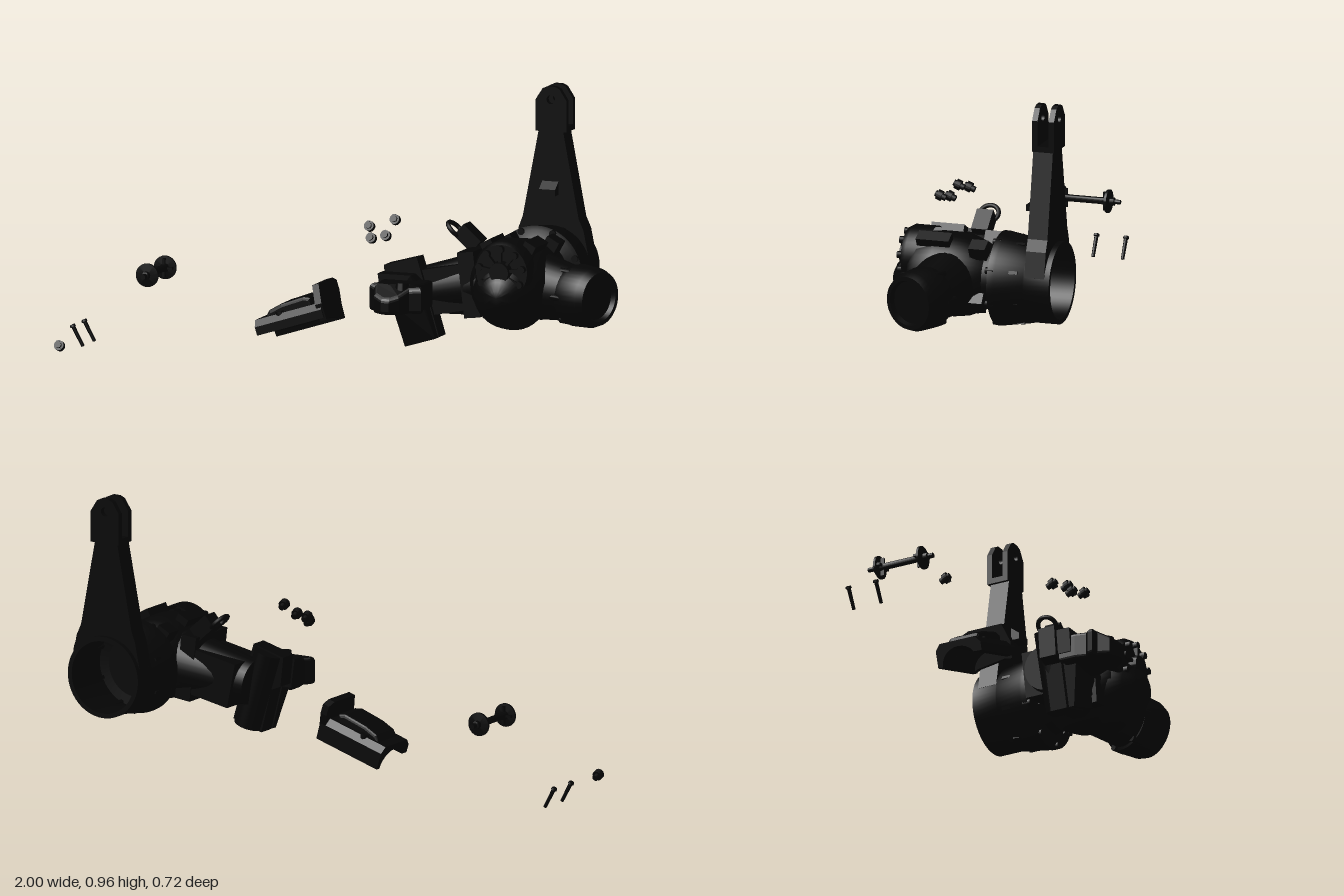
import * as THREE from 'three';
import { toCreasedNormals } from 'three/addons/utils/BufferGeometryUtils.js';

export function createModel() {
  const root = new THREE.Group();
  root.name = 'axleGearboxAssembly';
  const black = new THREE.MeshStandardMaterial({ color: 0x050505, side: THREE.DoubleSide });
  black.name = 'blackPlastic';
  const V = (x, y, z) => new THREE.Vector3(x, y, z);

  const add = (name, geo, parent = root) => {
    const m = new THREE.Mesh(geo, black);
    m.name = name;
    parent.add(m);
    return m;
  };
  // Box with centre and tilt about z
  const box = (name, w, h, d, x, y, z, tilt = 0, parent = root) => {
    const m = add(name, new THREE.BoxGeometry(w, h, d), parent);
    m.position.set(x, y, z);
    m.rotation.z = tilt;
    return m;
  };
  // Solid of revolution along a line; profile is [radius, distance]
  const turned = (name, profile, from, dir, parent = root, sides = 40) => {
    const g = new THREE.LatheGeometry(profile.map(p => new THREE.Vector2(...p)), sides);
    const m = add(name, toCreasedNormals(g, 0.6), parent);
    m.position.copy(from);
    m.quaternion.setFromUnitVectors(V(0, 1, 0), dir.clone().normalize());
    return m;
  };
  const rod = (name, from, to, r0, r1 = r0, parent = root, sides = 24) => {
    const l = from.distanceTo(to);
    return turned(name, [[0, 0], [r0, 0], [r1, l], [0, l]], from, to.clone().sub(from), parent, sides);
  };
  // Flat outline extruded along z, with round holes [x, y, radius]
  const plate = (name, pts, z0, z1, holes = [], parent = root, bevel = 0) => {
    const s = new THREE.Shape(pts.map(p => new THREE.Vector2(...p)));
    for (const [x, y, r] of holes) s.holes.push(new THREE.Path().absarc(x, y, r, 0, Math.PI * 2, true));
    const g = new THREE.ExtrudeGeometry(s, {
      depth: z1 - z0 - 2 * bevel, bevelEnabled: bevel > 0, bevelSize: bevel, bevelOffset: -bevel,
      bevelThickness: bevel, bevelSegments: 3, curveSegments: 16
    });
    g.translate(0, 0, z0 + bevel);
    return add(name, g, parent);
  };
  // Moves the z of each vertex by a rule
  const reshapeZ = (mesh, rule) => {
    const p = mesh.geometry.attributes.position;
    for (let i = 0; i < p.count; i++) p.setZ(i, rule(p.getX(i), p.getY(i), p.getZ(i)));
    mesh.geometry.computeVertexNormals();
  };
  const Z = V(0, 0, 1), CX = 0.645, CY = 0.327;

  // Upright arm with a fork at its top; its foot wraps the socket
  const armOutline = [[0.525, 0.46], [0.54, 0.5], [0.598, 0.8], [0.6, 0.82], [0.686, 0.82], [0.69, 0.8],
    [0.747, 0.5], [0.765, 0.46], [0.783, 0.37]];
  for (let i = 0; i <= 12; i++) {
    const a = 0.3 + (Math.PI - 0.6) * i / 12;
    armOutline.push([CX + 0.132 * Math.cos(a), CY + 0.132 * Math.sin(a)]);
  }
  armOutline.push([0.507, 0.37]);
  plate('uprightArm', armOutline, -0.342, -0.27);
  const fork = [[0.587, 0.8], [0.702, 0.8], [0.702, 0.91], [0.676, 0.95], [0.658, 0.958], [0.631, 0.958],
    [0.613, 0.95], [0.587, 0.91]];
  plate('forkProngFront', fork, -0.29, -0.27, [[0.644, 0.912, 0.016]]);
  plate('forkProngRear', fork, -0.35, -0.33, [[0.644, 0.912, 0.016]]);
  box('forkBase', 0.115, 0.02, 0.078, 0.6445, 0.81, -0.309);
  const lip = plate('armLip', [[0, 0], [0.033, 0], [0.033, 0.047], [0, 0.022]], -0.03, 0.03);
  lip.position.set(0.642, 0.58, -0.238);
  lip.rotation.y = Math.PI / 2;

  // Rear socket, a shell open at the back
  turned('rearSocket', [[0.11, -0.152], [0.145, -0.155], [0.13, -0.27], [0.128, -0.361], [0.144, -0.361],
    [0.144, -0.27], [0.147, -0.265], [0.163, -0.165], [0.165, -0.155], [0.165, -0.14], [0.15, -0.138],
    [0.12, -0.125]], V(CX, CY, 0), Z, root, 56);
  for (let i = 0; i < 8; i++) {
    const b = i * Math.PI / 4 + 0.39;
    const p = V(CX + 0.153 * Math.cos(b), CY + 0.153 * Math.sin(b), -0.16);
    rod('socketBolt', p, p.clone().add(V(0, 0, 0.03)), 0.012);
    box('socketGusset', 0.018, 0.012, 0.09, CX + 0.146 * Math.cos(b), CY + 0.146 * Math.sin(b), -0.2, b);
  }

  // Central housing with a domed nose
  turned('gearHousing', [[0, -0.15], [0.118, -0.15], [0.108, -0.1], [0.12, -0.08], [0.14, -0.03], [0.147, 0.02],
    [0.147, 0.08], [0.14, 0.14], [0.115, 0.17]], V(CX, CY, 0), Z, root, 48);
  turned('housingNose', [[0.135, 0.1], [0.12, 0.16], [0.09, 0.2], [0.055, 0.235], [0.025, 0.25], [0, 0.252]],
    V(CX, 0.3, 0), Z);
  turned('frontFlange', [[0.105, 0.1], [0.105, 0.18], [0.095, 0.198], [0.04, 0.198], [0.035, 0.225], [0, 0.225]],
    V(CX, 0.385, 0), Z);
  for (let i = 0; i < 9; i++) {
    const a = i * Math.PI * 2 / 9 + Math.PI / 2;
    const p = V(CX + 0.08 * Math.cos(a), 0.385 + 0.08 * Math.sin(a), 0.16);
    rod('flangeBolt', p, p.clone().add(V(0, 0, 0.055)), 0.014, 0.012);
    box('flangeRib', 0.05, 0.01, 0.03, CX + 0.055 * Math.cos(a), 0.385 + 0.055 * Math.sin(a), 0.2, a);
  }
  for (const s of [-1, 1]) {
    box('housingRearLug', 0.05, 0.05, 0.06, CX + s * 0.08, 0.44, -0.085, -s * 0.5);
    box('housingTopLug', 0.045, 0.04, 0.12, CX + s * 0.075, 0.46, 0.08, -s * 0.5);
    box('housingSideLug', 0.045, 0.04, 0.05, CX + s * 0.1, 0.265, -0.085, s * 0.6);
  }

  // Axle tube and end cap on the model's left
  const capDir = V(0.93, -0.03, 0.34).normalize();
  const capAt = V(0.85, 0.297, 0.047);
  rod('leftAxleTube', V(0.645, 0.325, 0.02), V(0.88, 0.295, 0.055), 0.13, 0.092, root, 32);
  turned('leftAxleCap', [[0.08, 0], [0.103, 0.005], [0.109, 0.03], [0.105, 0.1], [0.094, 0.127], [0.08, 0.127],
    [0.075, 0.11], [0, 0.11]], capAt, capDir);
  for (let i = 0; i < 6; i++) {
    const a = i * Math.PI / 3;
    const off = V(-0.36 * Math.cos(a), Math.sin(a), 0.93 * Math.cos(a)).multiplyScalar(0.098);
    const p = capAt.clone().add(off).addScaledVector(capDir, -0.01);
    rod('leftCapLug', p, p.clone().addScaledVector(capDir, 0.045), 0.012);
  }

  // Axle tube on the model's right, leading into the split clamp
  rod('rightAxleTube', V(0.64, 0.33, 0.025), V(0.29, 0.275, 0.045), 0.13, 0.08, root, 32);
  box('rightTubeCasing', 0.19, 0.16, 0.18, 0.41, 0.295, 0.035, 0.2);
  box('rightTubeCollar', 0.06, 0.23, 0.2, 0.5, 0.32, 0.04, 0.12);
  const clampOutline = [[0.185, 0.37], [0.307, 0.404], [0.33, 0.33], [0.39, 0.13], [0.275, 0.094], [0.235, 0.25],
    [0.197, 0.265]];
  plate('clampRear', clampOutline, 0.075, 0.138);
  rod('clampBarrel', V(0.247, 0.382, 0.085), V(0.332, 0.114, 0.085), 0.053, 0.053, root, 32);
  const front = plate('clampFront', clampOutline.map(([x, y]) => [x, Math.min(y, 0.35)]), 0.147, 0.197);
  reshapeZ(front, (x, y, z) => z > 0.17 ? z - 0.22 * Math.max(0, 0.23 - y) : z);

  // Steering boss in front of the clamp, outlined in x and z, lower towards its tip
  const boss = plate('steeringBoss', [[0.2, -0.15], [0.37, -0.15], [0.37, -0.22], [0.35, -0.26], [0.387, -0.28],
    [0.387, -0.298], [0.345, -0.305], [0.32, -0.34], [0.29, -0.358], [0.26, -0.357], [0.225, -0.335], [0.21, -0.295],
    [0.19, -0.285], [0.195, -0.265], [0.21, -0.25], [0.2, -0.21]], 0.235, 0.332, [[0.262, -0.283, 0.014]], root, 0.012);
  reshapeZ(boss, (x, y, z) => z > 0.29 ? z - 0.55 * Math.max(0, -y - 0.28) : z);
  boss.rotation.x = -Math.PI / 2;
  rod('bossPin', V(0.31, 0.25, 0.29), V(0.31, 0.338, 0.28), 0.028, 0.022);

  // Cable loop above the right tube
  box('loopFoot', 0.055, 0.085, 0.06, 0.45, 0.462, -0.005, 0.85);
  const loop = add('cableLoop', new THREE.TorusGeometry(0.034, 0.008, 10, 28));
  loop.position.set(0.395, 0.485, -0.005);
  loop.quaternion.setFromUnitVectors(Z, V(0.7, 0.72, 0).normalize());

  // Small loose spacers
  for (const [x, y, z] of [[0.14, 0.505, 0.155], [0.17, 0.475, 0.215], [0.237, 0.535, 0.16], [0.23, 0.49, 0.23],
    [-0.94, 0.045, 0.335]]) {
    const g = new THREE.Group();
    g.name = 'looseSpacer';
    g.position.set(x, y, z);
    g.rotation.set(-0.4, 0, 0.3);
    root.add(g);
    rod('spacerBody', V(0, 0, -0.02), V(0, 0, 0.02), 0.011, 0.011, g, 16);
    rod('spacerCollar', V(0, 0, -0.006), V(0, 0, 0.012), 0.018, 0.018, g, 16);
    box('spacerTab', 0.012, 0.036, 0.01, 0, 0, 0.008, 0, g);
  }

  // Loose clamp cover, built level and then tilted; one skirt hangs lower
  const cover = new THREE.Group();
  cover.name = 'clampCover';
  cover.position.set(-0.28, 0.06, 0.028);
  cover.rotation.z = 0.31;
  root.add(cover);
  const arch = [[-0.09, 0.03], [-0.068, 0.03]];
  for (let i = 2; i < 12; i++) {
    const a = Math.PI - i * Math.PI / 12;
    arch.push([0.068 * Math.cos(a), 0.062 * Math.sin(a)]);
  }
  arch.push([0.068, 0], [0.086, 0], [0.086, 0.06], [0.068, 0.083], [-0.07, 0.083], [-0.09, 0.06]);
  const shell = plate('coverShell', arch, -0.004, 0.255, [], cover);
  shell.rotation.y = Math.PI / 2;
  plate('coverHump', [[0.02, 0.07], [0.215, 0.07], [0.215, 0.107], [0.19, 0.117], [0.1, 0.113], [0.05, 0.102]],
    -0.058, 0.062, [], cover, 0.012);
  const end = plate('coverEndPlate', [[-0.082, 0.02], [-0.055, 0.025], [0.055, 0.01], [0.078, 0], [0.083, 0.05],
    [0.1, 0.1], [0.1, 0.135], [0.07, 0.147], [-0.06, 0.147], [-0.085, 0.08]], 0.235, 0.26, [], cover);
  end.rotation.y = Math.PI / 2;
  for (const s of [-1, 1]) rod('coverScrewBoss', V(0.09, 0.04, s * 0.06), V(0.09, 0.09, s * 0.06), 0.016, 0.016, cover);

  // Loose spindle with two discs
  turned('spindle', [[0, -0.1], [0.008, -0.1], [0.008, -0.08], [0.014, -0.078], [0.014, -0.063], [0.041, -0.06],
    [0.041, -0.052], [0.016, -0.05], [0.012, -0.03], [0.012, 0.085], [0.016, 0.107], [0.041, 0.109], [0.041, 0.117],
    [0.014, 0.12], [0.014, 0.135], [0.009, 0.137], [0.009, 0.155], [0, 0.155]], V(-0.703, 0.272, 0), Z);
  for (const z of [-0.045, 0.101]) for (let i = 0; i < 4; i++) {
    const a = i * Math.PI / 2;
    box('spindleDrive', 0.022, 0.008, 0.014, -0.703 + 0.022 * Math.cos(a), 0.272 + 0.022 * Math.sin(a), z, a);
  }

  // Two loose screws
  for (const z of [-0.02, 0.088]) {
    turned('screw', [[0, 0], [0.009, 0.001], [0.011, 0.009], [0.007, 0.011], [0.006, 0.084], [0, 0.086]],
      V(-0.992, 0.077, z), V(0.042, -0.076, 0), root, 16);
  }
  return root;
}
